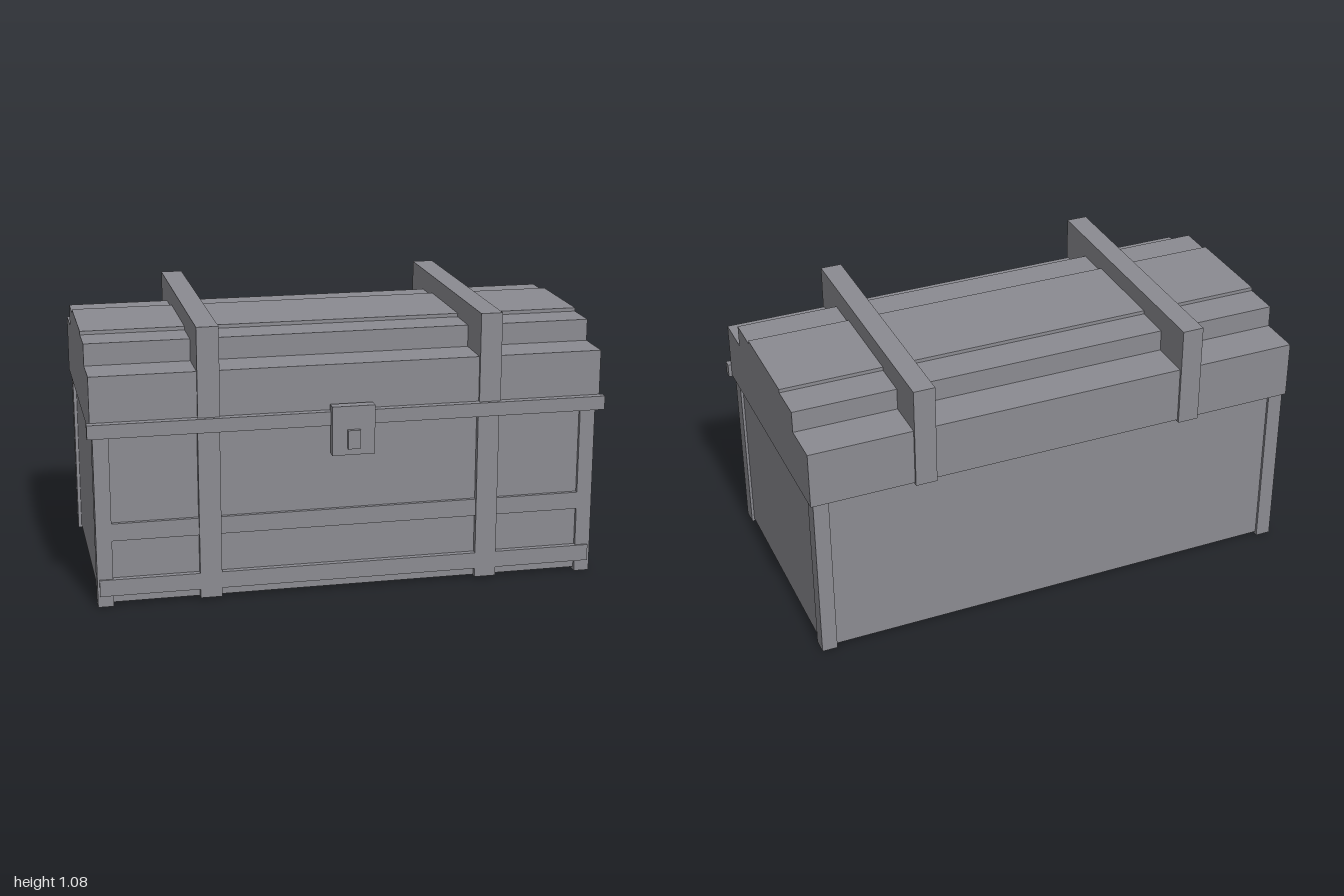
import * as THREE from 'three';

export function createModel() {
  const chest = new THREE.Group();
  chest.name = 'chest';
  const grey = new THREE.MeshStandardMaterial({ color: 0x8b8b91 });
  grey.name = 'plain grey';

  // Box given by its lower and upper limits on each axis
  function block(name, [x0, x1], [y0, y1], [z0, z1]) {
    const mesh = new THREE.Mesh(new THREE.BoxGeometry(x1 - x0, y1 - y0, z1 - z0), grey);
    mesh.position.set((x0 + x1) / 2, (y0 + y1) / 2, (z0 + z1) / 2);
    mesh.name = name;
    chest.add(mesh);
  }

  // Body with corner posts
  block('body', [-0.965, 0.965], [0.012, 0.69], [-0.512, 0.452]);
  for (const side of [-1, 1]) {
    const x = side < 0 ? [-0.978, -0.918] : [0.915, 0.975];
    block('frontPost', x, [0, 0.685], [0.402, 0.467]);
    block('backPost', x, [0, 0.685], [-0.523, -0.46]);
  }

  // Front rails
  block('middleRail', [-0.93, 0.93], [0.262, 0.33], [0.44, 0.467]);
  block('bottomRail', [-0.97, 0.965], [0.045, 0.11], [0.44, 0.475]);

  // Stepped lid, each tier narrower than the one below
  const lidX = [-0.987, 0.987];
  block('lidBase', lidX, [0.68, 0.905], [-0.535, 0.475]);
  block('lidMiddle', lidX, [0.9, 0.99], [-0.37, 0.31]);
  block('lidTop', lidX, [0.98, 1.004], [-0.224, 0.163]);
  block('lidRim', [-1, 1], [0.675, 0.729], [0.472, 0.505]);

  // Straps on the front of the body and over the lid
  for (const x of [[-0.587, -0.503], [0.5, 0.584]]) {
    block('bodyStrap', x, [0.01, 0.68], [0.44, 0.475]);
    block('lidStrap', x, [0.672, 1.075], [-0.545, 0.487]);
  }

  // Lock
  block('lockPlate', [-0.085, 0.08], [0.563, 0.754], [0.488, 0.53]);
  block('lockKnob', [-0.027, 0.022], [0.59, 0.663], [0.52, 0.546]);

  return chest;
}
